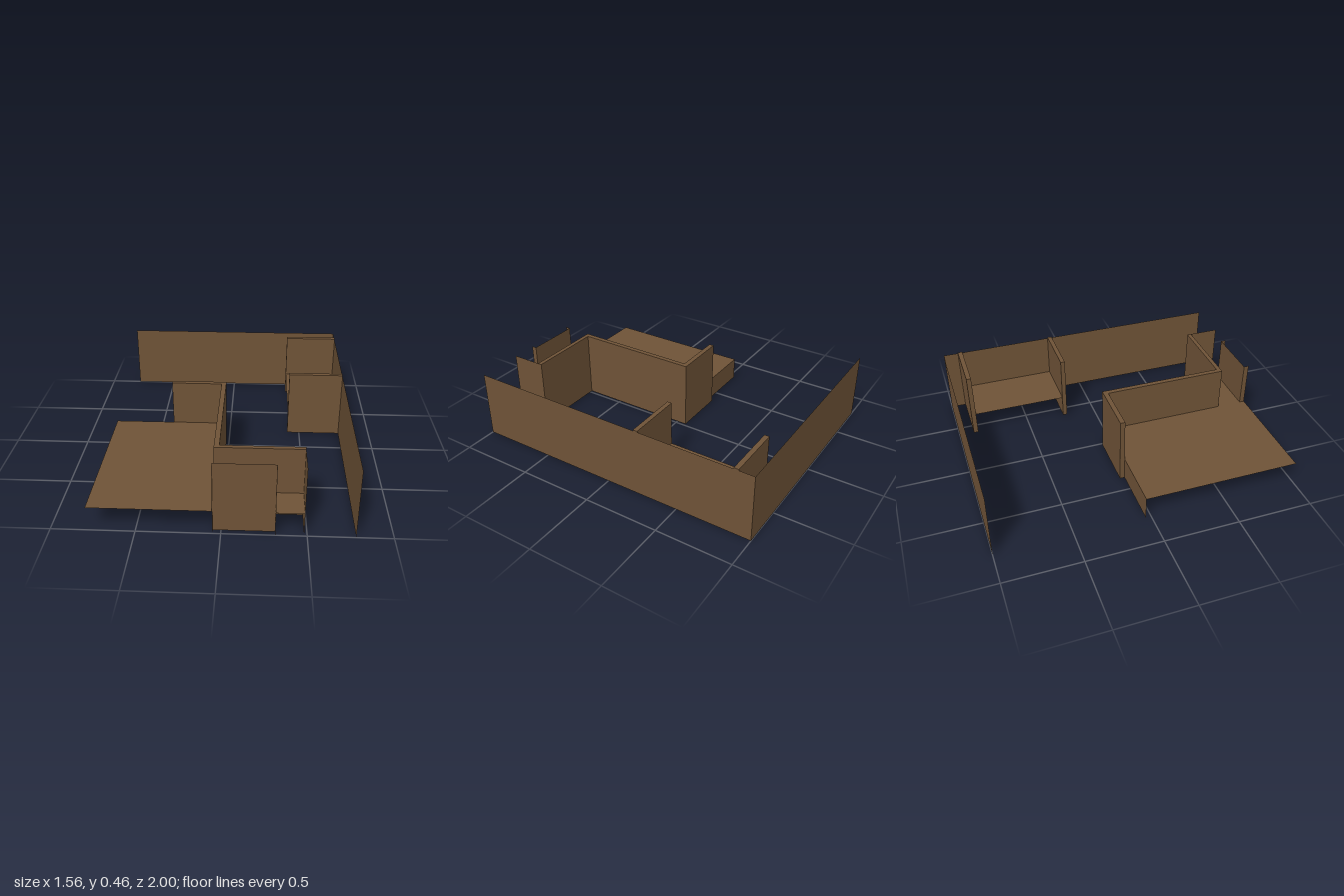
import * as THREE from 'three';

export function createModel() {
  const model = new THREE.Group();
  model.name = 'roomPartitions';
  const wood = new THREE.MeshStandardMaterial({ color: 0x6f5337, side: THREE.DoubleSide });
  wood.name = 'brownWood';

  const WALL = 0.46, OUTER = 0.453, FLOOR = 0.157, X = 0.782;

  const add = (name, geometry) => {
    const mesh = new THREE.Mesh(geometry, wood);
    mesh.name = name;
    model.add(mesh);
    return mesh;
  };

  // Upright sheet standing on the ground between two plan points (x, z)
  const sheet = (name, x0, z0, x1, z1, height) => {
    const g = new THREE.PlaneGeometry(Math.hypot(x1 - x0, z1 - z0), height);
    g.rotateY(-Math.atan2(z1 - z0, x1 - x0));
    g.translate((x0 + x1) / 2, height / 2, (z0 + z1) / 2);
    return add(name, g);
  };

  // Flat floor sheet from a plan outline of (x, z) points
  const floor = (name, outline) => {
    const shape = new THREE.Shape(outline.map(([x, z]) => new THREE.Vector2(x, -z)));
    const g = new THREE.ShapeGeometry(shape);
    g.rotateX(-Math.PI / 2);
    g.translate(0, FLOOR, 0);
    return add(name, g);
  };

  // Thick wall extruded upwards from a plan outline
  const thickWall = (name, outline) => {
    const shape = new THREE.Shape(outline.map(([x, z]) => new THREE.Vector2(x, -z)));
    const g = new THREE.ExtrudeGeometry(shape, { depth: WALL, bevelEnabled: false });
    g.rotateX(-Math.PI / 2);
    return add(name, g);
  };

  // Outer boundary walls
  sheet('backWall', -X, -1, X, -1, OUTER);
  sheet('sideWall', X, -1, X, 1, OUTER);

  // Main room: floor with a doorway notch, stepped wall and low back skirt
  floor('mainFloor', [
    [-X, 1], [-0.05, 1], [-0.05, 0.966], [0.316, 0.966], [0.316, 1],
    [0.482, 1], [0.482, 0.796], [-0.05, 0.796], [-0.05, -0.036], [-X, -0.036],
  ]);
  thickWall('steppedWall', [
    [-0.385, -0.036], [-0.05, -0.036], [-0.05, 0.796], [0.482, 0.796],
    [0.482, 0.768], [-0.018, 0.768], [-0.018, -0.068], [-0.385, -0.068],
  ]);
  sheet('floorSkirt', -X, -0.036, -0.385, -0.036, FLOOR);
  sheet('roomEndWall', 0.482, 0.796, 0.482, 1, WALL);

  // Recessed front panel with short returns
  sheet('frontPanel', -0.05, 0.966, 0.316, 0.966, WALL);
  for (const x of [-0.05, 0.316]) sheet('panelReturn', x, 0.966, x, 1, WALL);

  // Side alcove: a floor between two parallel walls
  for (const [z0, z1] of [[-0.9, -0.868], [-0.234, -0.204]]) {
    thickWall('alcoveWall', [[0.415, z1], [X, z1], [X, z0], [0.415, z0]]);
  }
  floor('alcoveFloor', [[0.415, -0.234], [X, -0.234], [X, -0.868], [0.415, -0.868]]);

  return model;
}
